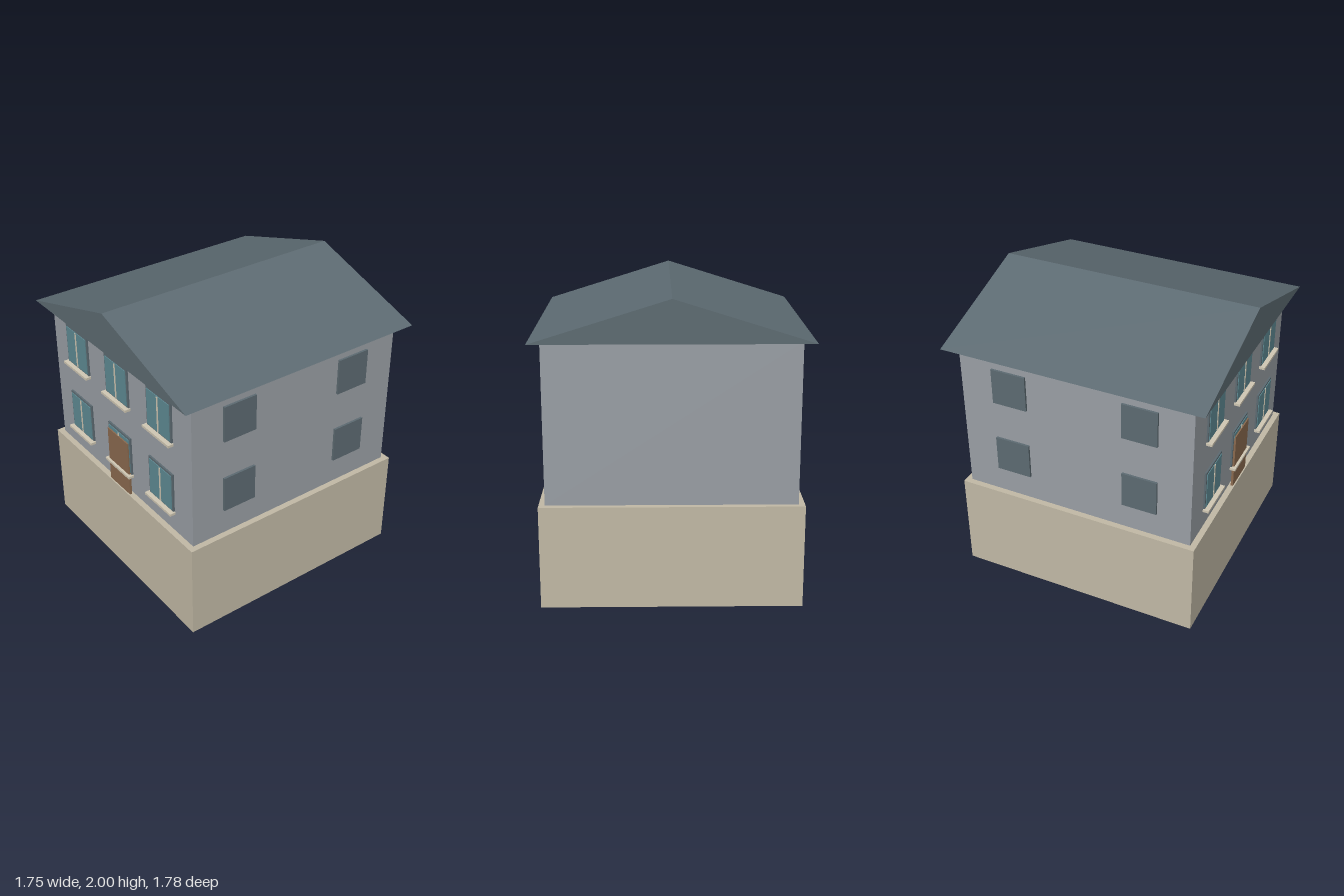
import * as THREE from 'three';

const mat = (color) => new THREE.MeshStandardMaterial({ color, flatShading: true });

export function createModel() {
  const house = new THREE.Group();
  house.name = 'house';
  const stone = mat(0xc2baa6), wall = mat(0x9a9fa5), slate = mat(0x5d6b72);
  const glass = mat(0x5f8b94), wood = mat(0x8b6a4f), trim = mat(0xd0c8b4);

  // Box given by its low and high corners
  const box = (parent, name, material, [x0, y0, z0], [x1, y1, z1]) => {
    const mesh = new THREE.Mesh(new THREE.BoxGeometry(x1 - x0, y1 - y0, z1 - z0), material);
    mesh.position.set((x0 + x1) / 2, (y0 + y1) / 2, (z0 + z1) / 2);
    mesh.name = name;
    parent.add(mesh);
  };

  // Main masses
  box(house, 'foundation', stone, [-0.84, 0, -0.84], [0.84, 0.68, 0.84]);
  box(house, 'walls', wall, [-0.8, 0.68, -0.8], [0.8, 1.727, 0.8]);

  // Gable roof, ridge running front to back
  const gable = new THREE.Shape();
  gable.moveTo(-0.875, 1.727);
  gable.lineTo(0.875, 1.727);
  gable.lineTo(0, 2);
  gable.closePath();
  const roof = new THREE.Mesh(
    new THREE.ExtrudeGeometry(gable, { depth: 1.776, bevelEnabled: false }), slate);
  roof.position.z = -0.888;
  roof.name = 'roof';
  house.add(roof);

  // Front windows: frame, pane, centre bar and sill on both floors
  for (const y of [0.84, 1.36]) {
    for (const x of [-0.48, 0, 0.48]) {
      const win = new THREE.Group();
      win.name = 'frontWindow';
      win.position.set(x, y, 0);
      box(win, 'frame', slate, [-0.132, 0, 0.805], [0.132, 0.285, 0.817]);
      box(win, 'pane', glass, [-0.12, 0.012, 0.81], [0.12, 0.27, 0.822]);
      box(win, 'centreBar', trim, [-0.006, 0.015, 0.815], [0.006, 0.267, 0.826]);
      box(win, 'sill', trim, [-0.144, -0.015, 0.808], [0.144, 0.002, 0.848]);
      house.add(win);
    }
  }

  // Front door
  box(house, 'frontDoor', wood, [-0.12, 0.68, 0.815], [0.12, 1.085, 0.831]);

  // Side windows on both flanks
  for (const side of [-1, 1])
    for (const y of [0.86, 1.38])
      for (const z of [-0.45, 0.45])
        box(house, 'sideWindow', slate,
          [side * 0.8075 - 0.0075, y, z - 0.12], [side * 0.8075 + 0.0075, y + 0.248, z + 0.12]);

  return house;
}
